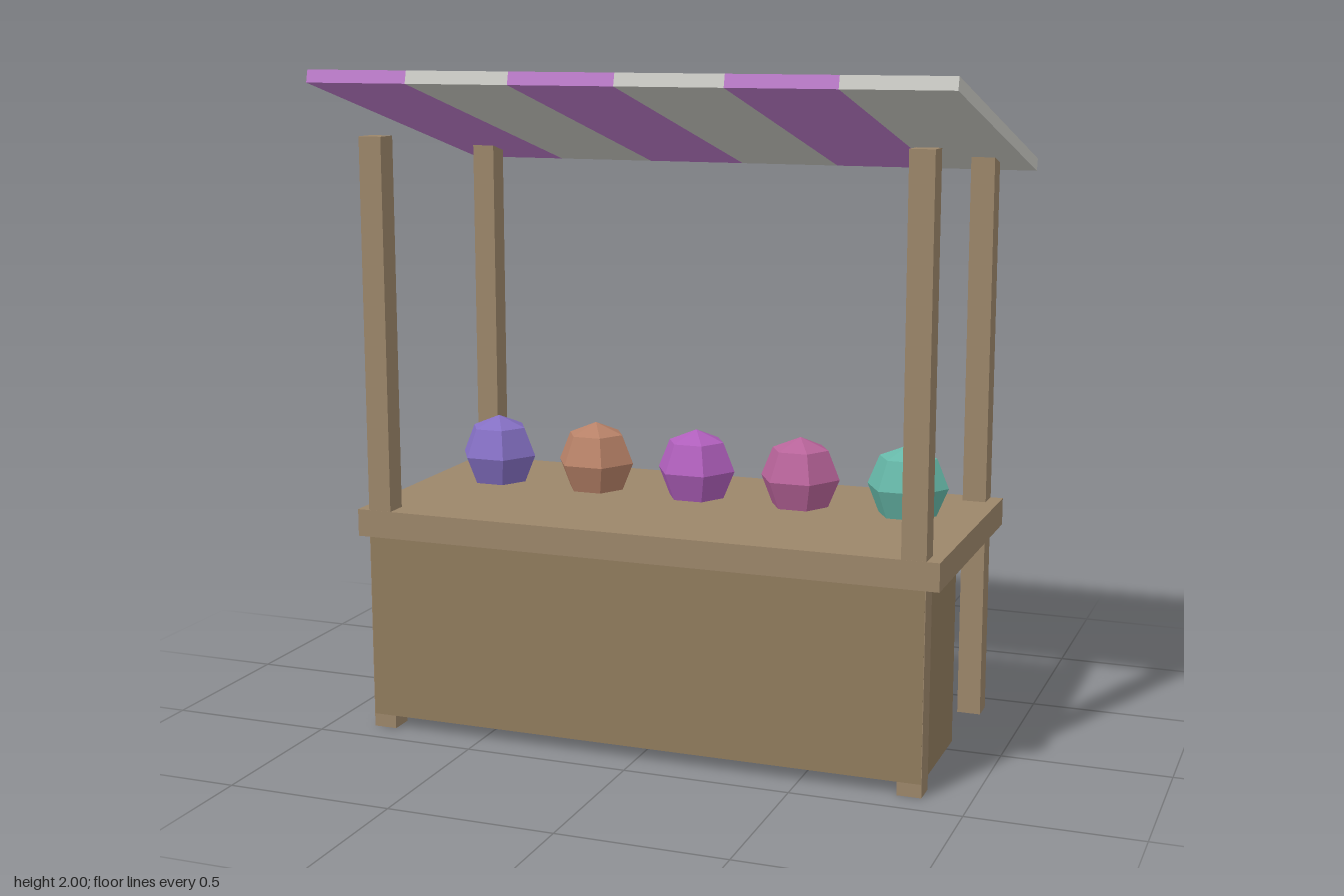
import * as THREE from 'three';

const paint = (color, flatShading = false) => {
  const m = new THREE.MeshStandardMaterial({ color });
  m.flatShading = flatShading;
  return m;
};

function box(name, size, position, material) {
  const mesh = new THREE.Mesh(new THREE.BoxGeometry(...size), material);
  mesh.name = name;
  mesh.position.set(...position);
  return mesh;
}

export function createModel() {
  const stall = new THREE.Group();
  stall.name = 'marketStall';
  const wood = paint(0x9c866a);
  const panelWood = paint(0x907b5d);
  const purple = paint(0xbd7ccb);
  const pale = paint(0xccccc6);

  // Counter top and the cabinet below its front half
  stall.add(box('counterTop', [1.8, 0.083, 0.825], [0, 0.641, 0], wood));
  stall.add(box('cabinet', [1.72, 0.56, 0.375], [0, 0.32, 0.225], panelWood));

  // Four corner posts; the rear pair pokes through the awning
  for (const x of [-0.826, 0.826]) {
    for (const z of [-0.376, 0.376]) {
      const name = (z > 0 ? 'front' : 'back') + (x > 0 ? 'Left' : 'Right') + 'Post';
      stall.add(box(name, [0.072, 1.805, 0.072], [x, 0.9025, z], wood));
    }
  }

  // Striped awning, raised at the front
  const awning = new THREE.Group();
  awning.name = 'awning';
  const stripes = 6, width = 1.9 / stripes;
  for (let i = 0; i < stripes; i++) {
    const x = (i - (stripes - 1) / 2) * width;
    awning.add(box('awningStripe', [width, 0.038, 1.122], [x, 0, 0], i % 2 ? pale : purple));
  }
  awning.position.y = 1.843;
  awning.rotation.x = -0.25;
  stall.add(awning);

  // Row of faceted gems sunk slightly into the counter
  const gemColors = [0x8570c4, 0xb88268, 0xb05fbc, 0xb8649a, 0x66b8a8];
  const gemShape = new THREE.SphereGeometry(0.125, 6, 4);
  gemColors.forEach((color, i) => {
    const gem = new THREE.Mesh(gemShape, paint(color, true));
    gem.name = 'gem';
    gem.position.set((i - 2) * 0.337, 0.769, -0.11);
    stall.add(gem);
  });

  return stall;
}
